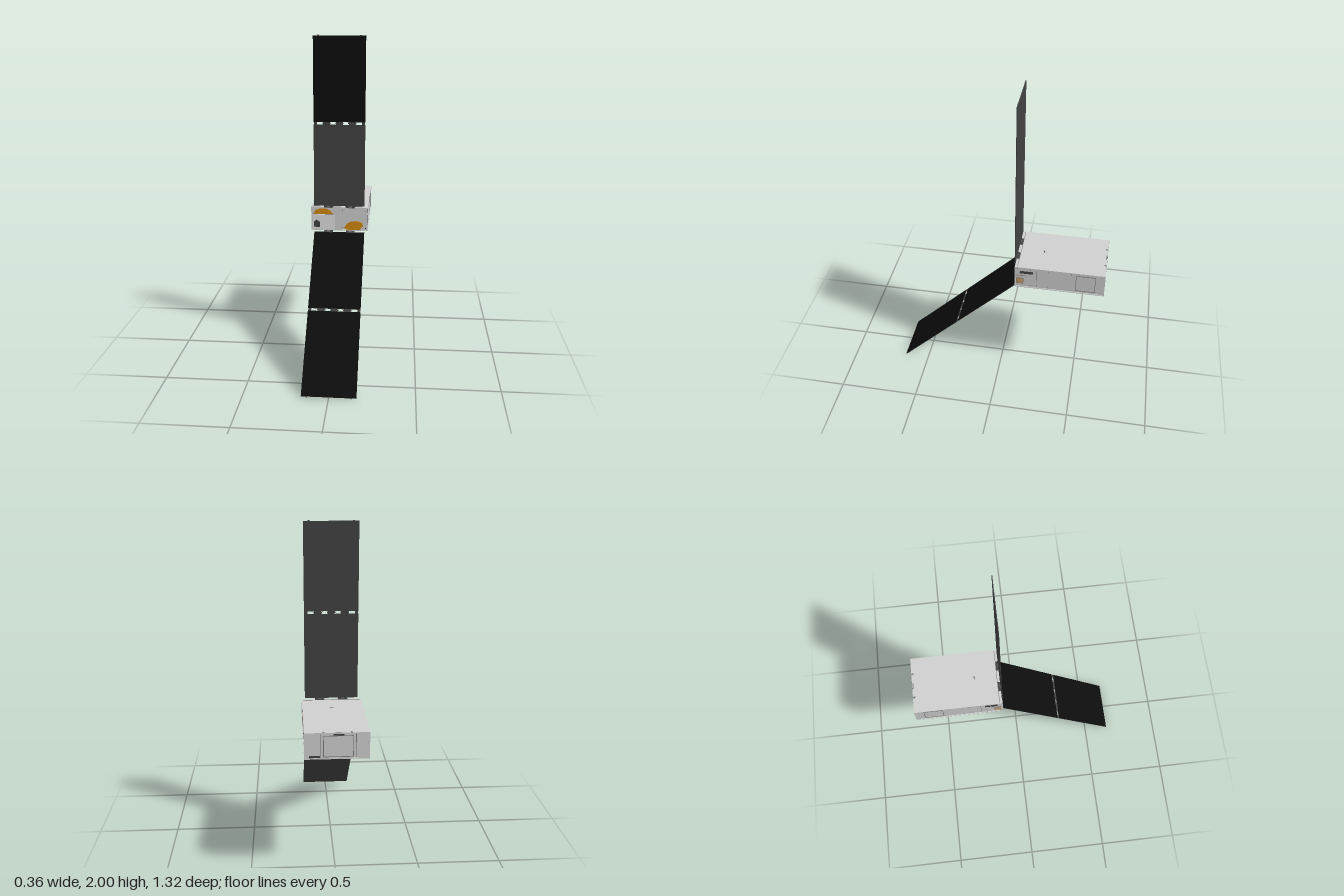
import * as THREE from 'three';

const mat = (name, color) => {
  const m = new THREE.MeshStandardMaterial({ color });
  m.name = name;
  return m;
};

export function createModel() {
  const M = {
    shell: mat('light grey shell', 0xd0d0d0),
    pale: mat('pale cover', 0xe2e2e2),
    seam: mat('grey seam', 0x777777),
    dark: mat('charcoal backing', 0x424242),
    cell: mat('black solar cell', 0x0d0d0d),
    foil: mat('orange foil', 0xd58a10),
    tan: mat('tan patch', 0xc9a06a),
  };
  const model = new THREE.Group();
  model.name = 'satellite';

  const box = (parent, name, m, w, h, d, x, y, z) => {
    const mesh = new THREE.Mesh(new THREE.BoxGeometry(w, h, d), m);
    mesh.name = name;
    mesh.position.set(x, y, z);
    parent.add(mesh);
    return mesh;
  };
  // thin outline of four bars in the local xy plane
  const frame = (parent, name, x0, x1, y0, y1, t = 0.003) => {
    const g = new THREE.Group();
    g.name = name;
    const cx = (x0 + x1) / 2, cy = (y0 + y1) / 2;
    for (const x of [x0, x1]) box(g, 'upright', M.seam, t, y1 - y0, 0.003, x, cy, 0.001);
    for (const y of [y0, y1]) box(g, 'crossbar', M.seam, x1 - x0, t, 0.003, cx, y, 0.001);
    parent.add(g);
  };
  const plate = (parent, name, m, pts, z = 0) => {
    const geo = new THREE.ExtrudeGeometry(new THREE.Shape(pts), { depth: 0.004, bevelEnabled: false });
    const mesh = new THREE.Mesh(geo, m);
    mesh.name = name;
    mesh.position.z = z;
    parent.add(mesh);
  };
  const V = (x, y) => new THREE.Vector2(x, y);
  // a face group has local xy on the surface and +z pointing outward
  const face = (name, x, y, z, ry) => {
    const g = new THREE.Group();
    g.name = name;
    g.position.set(x, y, z);
    g.rotation.y = ry;
    model.add(g);
    return g;
  };

  // main body with a thin lid and floor
  box(model, 'body', M.shell, 0.352, 0.148, 0.546, 0, 0.846, -0.38);
  box(model, 'lid', M.shell, 0.362, 0.005, 0.552, 0, 0.9215, -0.379);
  box(model, 'floor', M.shell, 0.362, 0.005, 0.552, 0, 0.7705, -0.379);
  for (const x of [-0.177, 0.177]) for (const z of [-0.652, -0.107])
    box(model, 'cornerRail', M.shell, 0.008, 0.152, 0.008, x, 0.846, z);
  box(model, 'lidSeam', M.seam, 0.345, 0.002, 0.003, 0, 0.924, -0.12);
  box(model, 'lidSlot', M.dark, 0.02, 0.002, 0.004, 0.005, 0.9238, -0.263);
  for (const x of [-0.08, 0.075]) box(model, 'lidNotch', M.seam, 0.01, 0.002, 0.014, x, 0.924, -0.647);
  box(model, 'lidNotch', M.seam, 0.035, 0.002, 0.006, -0.005, 0.924, -0.65);

  // front face: instrument cover, sensor, foil patches
  const front = face('frontFace', 0, 0, -0.107, 0);
  box(front, 'instrumentCover', M.pale, 0.145, 0.1, 0.006, -0.102, 0.824, 0.003);
  frame(front, 'coverSeam', -0.174, -0.031, 0.775, 0.874);
  box(front, 'coverEdge', M.seam, 0.002, 0.1, 0.008, -0.031, 0.824, 0.003);
  plate(front, 'sensor', M.dark,
    [V(-0.165, 0.79), V(-0.126, 0.79), V(-0.126, 0.824), V(-0.146, 0.838), V(-0.165, 0.824)], 0.004);
  plate(front, 'upperFoil', M.foil,
    [V(-0.165, 0.876), V(-0.04, 0.876), V(-0.06, 0.9), V(-0.085, 0.912), V(-0.125, 0.912), V(-0.155, 0.9)]);
  plate(front, 'lowerFoil', M.foil,
    [V(0.03, 0.785), V(0.05, 0.774), V(0.135, 0.774), V(0.14, 0.79), V(0.152, 0.8), V(0.146, 0.822),
      V(0.115, 0.832), V(0.075, 0.83), V(0.05, 0.815)]);
  for (const x of [0.02, 0.168]) for (const y of [0.785, 0.9])
    box(front, 'bolt', M.dark, 0.004, 0.004, 0.004, x, y, 0.001);

  // both flanks share hatch, seams and fasteners
  for (const s of [1, -1]) {
    const g = face(s > 0 ? 'leftFace' : 'rightFace', s * 0.176, 0, -0.38, s * Math.PI / 2);
    const at = (z) => -s * (z + 0.38);
    const span = (a, b) => [Math.min(at(a), at(b)), Math.max(at(a), at(b))];
    frame(g, 'hatch', ...span(-0.48, -0.597), 0.787, 0.902);
    box(g, 'vent', M.dark, 0.08, 0.017, 0.005, at(-0.175), 0.885, 0.001);
    box(g, 'patch', M.tan, 0.04, 0.04, 0.004, at(-0.135), 0.818, 0.001);
    frame(g, 'patchFrame', ...span(-0.115, -0.156), 0.797, 0.839);
    box(g, 'shortSeam', M.seam, 0.07, 0.003, 0.003, at(-0.14), 0.858, 0.001);
    box(g, 'panelSeam', M.seam, 0.002, 0.14, 0.003, at(-0.24), 0.846, 0.001);
    for (const z of [-0.12, -0.2, -0.31, -0.45, -0.63]) for (const y of [0.783, 0.908])
      box(g, 'fastener', M.dark, 0.004, 0.004, 0.003, at(z), y, 0.001);
  }

  // rear face: central access panel between two seams
  const back = face('backFace', 0, 0, -0.653, Math.PI);
  frame(back, 'rearPanel', -0.075, 0.09, 0.782, 0.905);
  for (const x of [-0.09, 0.105]) box(back, 'rearSeam', M.seam, 0.004, 0.14, 0.004, x, 0.846, 0);
  box(back, 'rearConnector', M.dark, 0.06, 0.012, 0.004, -0.125, 0.783, 0.001);
  box(back, 'rearLatch', M.dark, 0.06, 0.008, 0.004, 0.01, 0.912, 0.001);

  // a wing runs along local +y: two panels, hinges and end tabs
  const wing = (name, faces) => {
    const g = new THREE.Group();
    g.name = name;
    [[0.01, 0.534], [0.551, 1.075]].forEach(([a, b], i) => {
      const [f, r] = faces[i];
      box(g, i ? 'outerPanel' : 'innerPanel', [M.dark, M.dark, M.dark, M.dark, f, r],
        0.322, b - a, 0.004, 0, (a + b) / 2, 0);
    });
    for (const x of [-0.08, 0, 0.08]) {
      box(g, 'midHinge', M.dark, 0.042, 0.018, 0.005, x, 0.5425, 0);
      const pin = new THREE.Mesh(new THREE.CylinderGeometry(0.004, 0.004, 0.05, 10), M.dark);
      pin.name = 'hingePin';
      pin.rotation.z = Math.PI / 2;
      pin.position.set(x, 0.5425, 0);
      g.add(pin);
    }
    for (const x of [-0.15, 0.15]) box(g, 'midTab', M.dark, 0.018, 0.017, 0.003, x, 0.5425, 0);
    for (const x of [-0.07, 0.07]) {
      box(g, 'rootHinge', M.dark, 0.055, 0.016, 0.006, x, 0.006, 0);
      box(g, 'rootKnuckle', M.seam, 0.02, 0.012, 0.012, x, 0.004, 0);
    }
    for (const x of [-0.13, 0.13]) box(g, 'endTab', M.dark, 0.012, 0.006, 0.004, x, 1.076, 0);
    model.add(g);
    return g;
  };
  const upper = wing('upperWing', [[M.dark, M.dark], [M.cell, M.dark]]);
  upper.position.set(0, 0.922, -0.102);
  const lower = wing('lowerWing', [[M.dark, M.cell], [M.dark, M.cell]]);
  lower.position.set(0, 0.765, -0.105);
  lower.rotation.x = Math.PI * 0.75;

  // hinge brackets on the lid
  for (const x of [-0.07, 0.07]) box(model, 'hingeBracket', M.dark, 0.06, 0.005, 0.014, x, 0.925, -0.112);
  return model;
}
